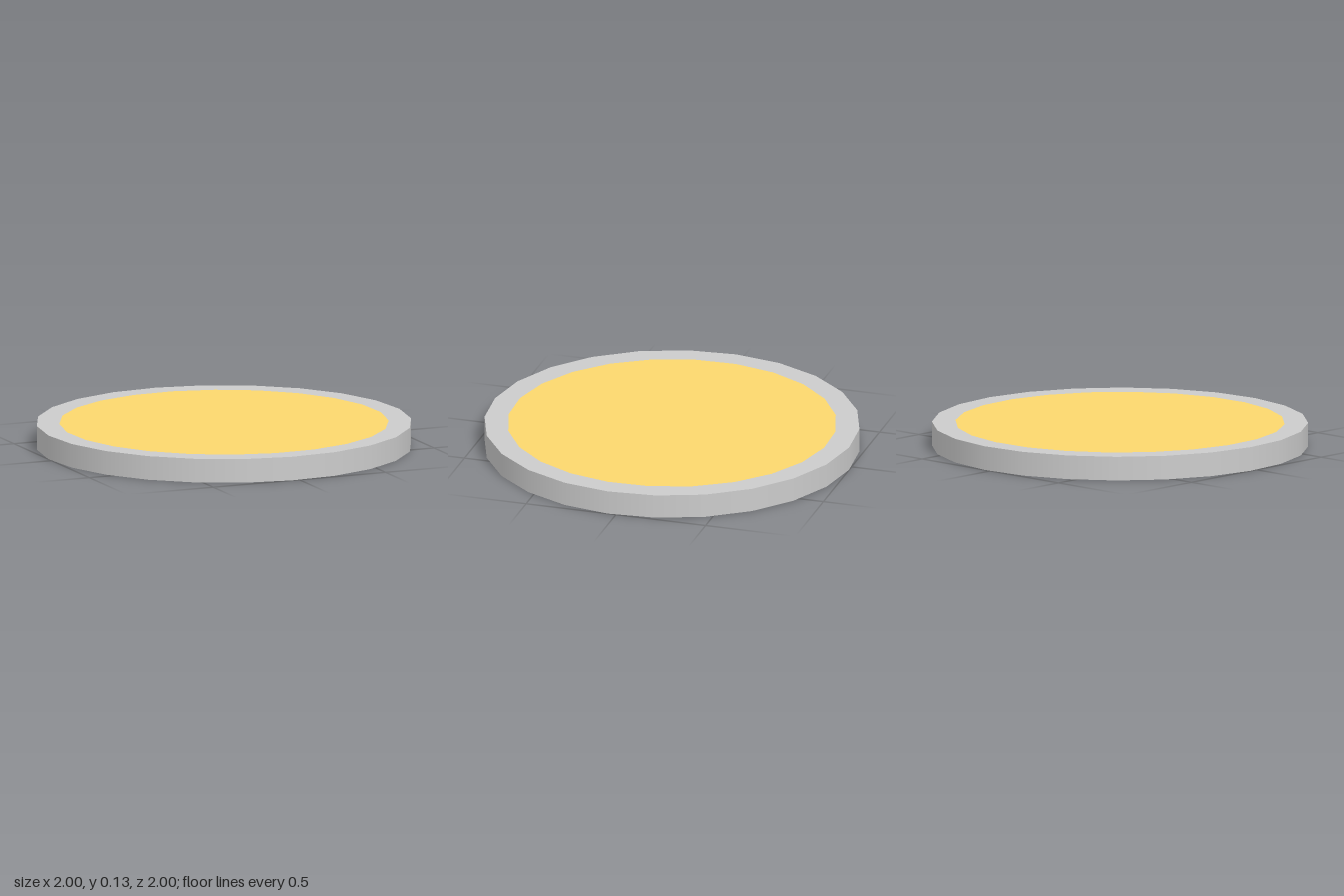
import * as THREE from 'three';

const SIDES = 24, HEIGHT = 0.128, RIM = 1, OPENING = 0.877;
const RIM_TURN = THREE.MathUtils.degToRad(2.5);
const OPENING_TURN = THREE.MathUtils.degToRad(5.5);

// Corners of a regular polygon, turned clockwise from the back
function polygon(radius, turn) {
  return Array.from({ length: SIDES }, (_, i) => {
    const a = turn + (i / SIDES) * Math.PI * 2;
    return new THREE.Vector2(radius * Math.sin(a), radius * Math.cos(a));
  });
}

// Thin horizontal sheet at height y
function sheet(name, shape, material, y) {
  const geometry = new THREE.ShapeGeometry(shape).rotateX(-Math.PI / 2);
  const mesh = new THREE.Mesh(geometry, material);
  mesh.name = name;
  mesh.position.y = y;
  return mesh;
}

export function createModel() {
  const group = new THREE.Group();
  group.name = 'disc';
  const grey = new THREE.MeshStandardMaterial({ color: 0xcccccc, side: THREE.DoubleSide });
  const yellow = new THREE.MeshStandardMaterial({ color: 0xfbd76d, side: THREE.DoubleSide });

  // Outer wall, smooth and open at both ends
  const wall = new THREE.Mesh(
    new THREE.CylinderGeometry(RIM, RIM, HEIGHT, SIDES, 1, true, -RIM_TURN), grey);
  wall.name = 'outerWall';
  wall.position.y = HEIGHT / 2;
  group.add(wall);

  // Flat rims above and below; the ring between them is hollow
  const ring = new THREE.Shape(polygon(RIM, RIM_TURN));
  ring.holes.push(new THREE.Path(polygon(OPENING, OPENING_TURN)));
  group.add(sheet('topRim', ring, grey, HEIGHT));
  group.add(sheet('bottomRim', ring, grey, 0));

  // Coloured panel flush with the top rim
  group.add(sheet('topPanel', new THREE.Shape(polygon(OPENING, OPENING_TURN)), yellow, HEIGHT));

  return group;
}
